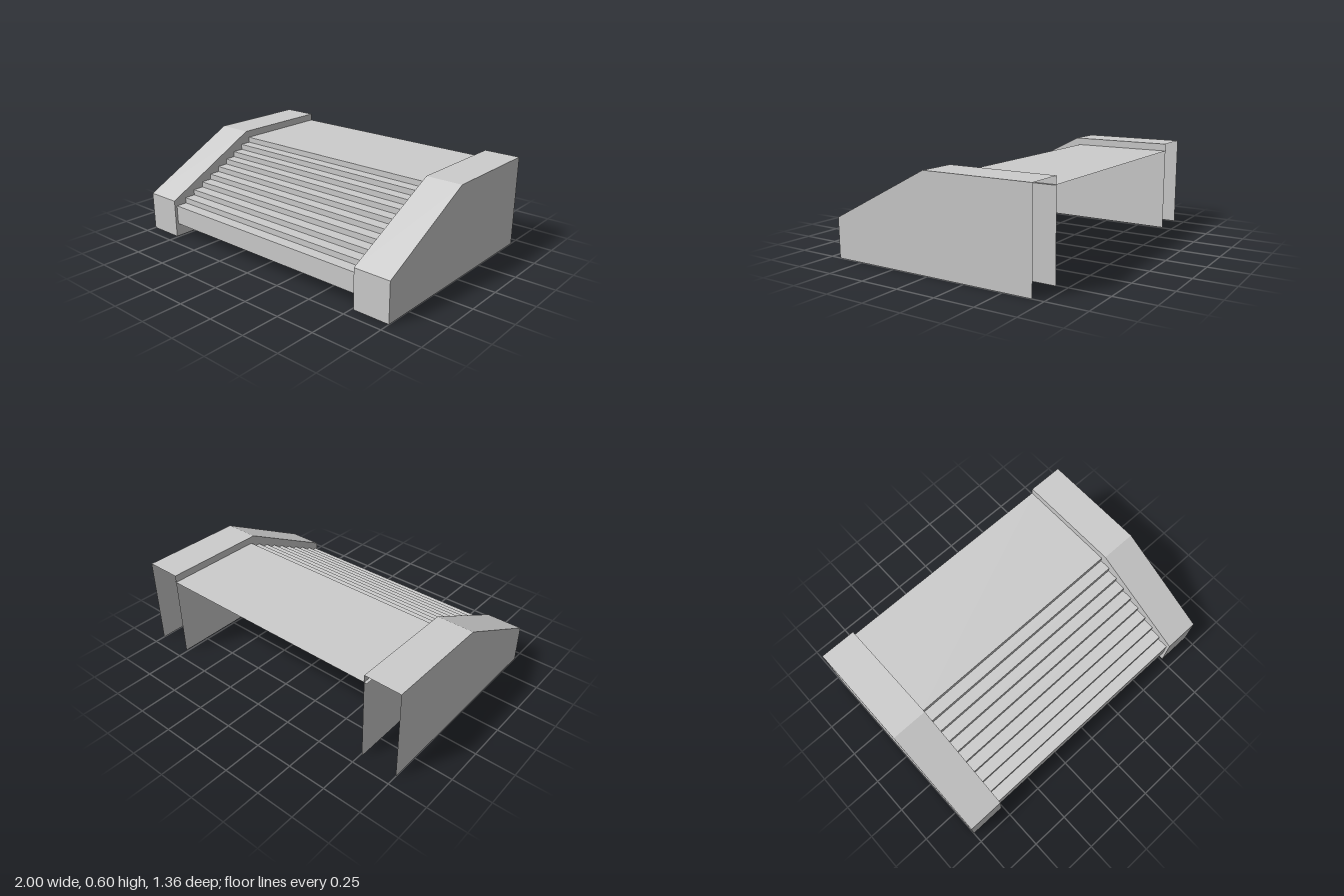
import * as THREE from 'three';

const stone = new THREE.MeshStandardMaterial({ color: 0xcccccc, side: THREE.DoubleSide });
stone.name = 'paleGrey';

// Folded sheet: sweeps a [z, y] line from x0 to x1, with hard folds
function foldedSheet(name, line, x0, x1) {
  const pos = [];
  for (let i = 0; i < line.length - 1; i++) {
    const [za, ya] = line[i], [zb, yb] = line[i + 1];
    const a = [x0, ya, za], b = [x1, ya, za], c = [x1, yb, zb], d = [x0, yb, zb];
    pos.push(...a, ...b, ...c, ...a, ...c, ...d);
  }
  const geo = new THREE.BufferGeometry();
  geo.setAttribute('position', new THREE.Float32BufferAttribute(pos, 3));
  geo.computeVertexNormals();
  const mesh = new THREE.Mesh(geo, stone);
  mesh.name = name;
  return mesh;
}

// Flat upright wall from a [z, y] outline; facing is +1 or -1 along x
function sideWall(name, outline, x, facing) {
  const shape = new THREE.Shape(outline.map(([z, y]) => new THREE.Vector2(-facing * z, y)));
  const mesh = new THREE.Mesh(new THREE.ShapeGeometry(shape), stone);
  mesh.name = name;
  mesh.rotation.y = facing * Math.PI / 2;
  mesh.position.x = x;
  return mesh;
}

export function createModel() {
  const model = new THREE.Group();
  model.name = 'staircase';
  const half = 0.68, inner = 0.762;

  // Front, slope and top of the hollow side piers
  const cap = [[half, 0], [half, 0.253], [0.015, 0.595], [-half, 0.595]];
  const outline = [...cap, [-half, 0]];
  for (const side of [-1, 1]) {
    const pier = new THREE.Group();
    pier.name = side > 0 ? 'leftPier' : 'rightPier';
    pier.add(foldedSheet('pierCap', cap, Math.min(side, side * inner), Math.max(side, side * inner)));
    pier.add(sideWall('outerWall', outline, side, side));
    pier.add(sideWall('innerWall', outline, side * inner, -side));
    model.add(pier);
  }

  // Steps, tucked slightly into the piers, ending in a landing
  const line = [[0.662, 0.088]];
  const risers = 10, run = 0.0747, rise = 0.0369;
  for (let i = 0; i < risers; i++) {
    const y = 0.215 + i * rise;
    line.push([0.662 - i * run, y]);
    line.push([i < risers - 1 ? 0.662 - (i + 1) * run : -half, y]);
  }
  model.add(foldedSheet('stepsAndLanding', line, -0.78, 0.78));
  return model;
}
